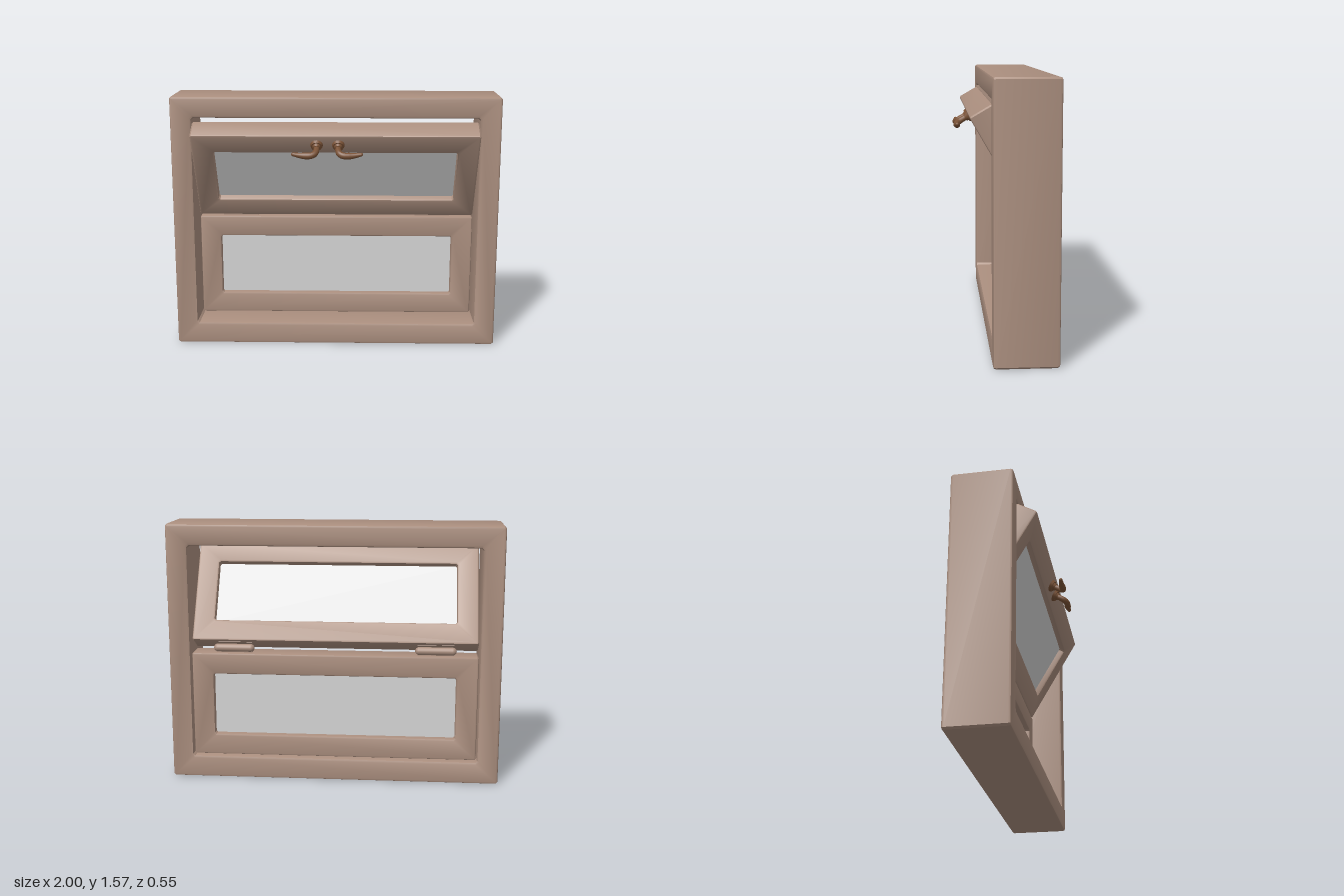
import * as THREE from 'three';
import { toCreasedNormals } from 'three/addons/utils/BufferGeometryUtils.js';

const wood = new THREE.MeshStandardMaterial({ color: 0xaa8e7e });
wood.name = 'painted wood';
const pane = new THREE.MeshStandardMaterial({ color: 0xd4d4d4 });
pane.name = 'pale glass';
const bronze = new THREE.MeshStandardMaterial({ color: 0x7a5236 });
bronze.name = 'bronze';

const SASH = { w: 1.73, h: 0.642, t: 0.143, rail: 0.131 };

function add(parent, name, geometry, material, x = 0, y = 0, z = 0) {
  const mesh = new THREE.Mesh(geometry, material);
  mesh.name = name;
  mesh.position.set(x, y, z);
  parent.add(mesh);
  return mesh;
}

// Rectangle with small cut corners
function outline(target, x0, y0, x1, y1, c) {
  target.moveTo(x0 + c, y0);
  target.lineTo(x1 - c, y0);
  target.lineTo(x1, y0 + c);
  target.lineTo(x1, y1 - c);
  target.lineTo(x1 - c, y1);
  target.lineTo(x0 + c, y1);
  target.lineTo(x0, y1 - c);
  target.lineTo(x0, y0 + c);
  target.closePath();
  return target;
}

// Bevelled rectangular ring standing on y = 0, from z = 0 back to z = -depth
function ring(w, h, depth, side, bottom, top, bevel) {
  const shape = outline(new THREE.Shape(), -w / 2, 0, w / 2, h, bevel * 0.7);
  shape.holes.push(outline(new THREE.Path(), -w / 2 + side, bottom, w / 2 - side, h - top, bevel * 0.7));
  const geometry = new THREE.ExtrudeGeometry(shape, {
    depth: depth - 2 * bevel, bevelEnabled: true, bevelSize: bevel,
    bevelThickness: bevel, bevelOffset: -bevel, bevelSegments: 2,
  });
  geometry.translate(0, 0, bevel - depth);
  return toCreasedNormals(geometry, 0.7);
}

// Sash with its pane; origin at the lower front edge
function makeSash(name) {
  const { w, h, t, rail } = SASH;
  const sash = new THREE.Group();
  sash.name = name;
  add(sash, 'sashFrame', ring(w, h, t, rail, rail, rail, 0.012), wood);
  add(sash, 'glass', new THREE.BoxGeometry(w - 2 * rail + 0.01, h - 2 * rail + 0.01, 0.06), pane, 0, h / 2, -t / 2);
  return sash;
}

// Lever handle: rosette, neck and a grip that swells and tapers sideways
function makeHandle(name, dir) {
  const handle = new THREE.Group();
  handle.name = name;
  const turn = (g) => g.rotateX(Math.PI / 2);
  add(handle, 'rosette', turn(new THREE.CylinderGeometry(0.032, 0.038, 0.016, 24)), bronze, 0, 0, 0.008);
  add(handle, 'collar', turn(new THREE.CylinderGeometry(0.02, 0.026, 0.016, 24)), bronze, 0, 0, 0.022);

  const path = new THREE.CatmullRomCurve3([
    [0, 0, 0.01], [0, 0, 0.05], [0.008, -0.001, 0.078], [0.03, -0.004, 0.092],
    [0.07, -0.006, 0.092], [0.105, -0.003, 0.09], [0.136, 0.002, 0.088],
  ].map(([x, y, z]) => new THREE.Vector3(x * dir, y, z)));
  const steps = 32, sides = 14;
  const lever = new THREE.TubeGeometry(path, steps, 1, sides, false);
  const pos = lever.attributes.position;
  const p = new THREE.Vector3();
  const radius = (u) => u < 0.65 ? 0.016 + 0.004 * Math.sin(u / 0.65 * Math.PI / 2) : 0.02 - 0.009 * (u - 0.65) / 0.35;
  for (let i = 0; i < pos.count; i++) {
    const u = Math.floor(i / (sides + 1)) / steps;
    const c = path.getPointAt(u);
    p.fromBufferAttribute(pos, i).sub(c).multiplyScalar(radius(u)).add(c);
    pos.setXYZ(i, p.x, p.y, p.z);
  }
  lever.computeVertexNormals();
  add(handle, 'lever', lever, bronze);
  add(handle, 'leverTip', new THREE.SphereGeometry(0.011, 14, 10), bronze, 0.136 * dir, 0.002, 0.088);
  return handle;
}

export function createModel() {
  const model = new THREE.Group();
  model.name = 'window';

  // Deep outer frame
  add(model, 'outerFrame', ring(2, 1.565, 0.365, 0.13, 0.137, 0.128, 0.016), wood, 0, 0, 0.092);

  // Fixed lower sash
  const lower = makeSash('lowerSash');
  lower.position.set(0, 0.142, -0.108);
  model.add(lower);

  // Upper sash tilted forward at the top
  const upper = makeSash('upperSash');
  upper.position.set(0, 0.791, -0.112);
  upper.rotation.x = Math.PI / 6;
  model.add(upper);

  // Handles on the top rail of the tilted sash
  for (const [name, x, dir] of [['leftHandle', 0.02, 1], ['rightHandle', -0.11, -1]]) {
    const handle = makeHandle(name, dir);
    handle.position.set(x, SASH.h - 0.067, 0);
    upper.add(handle);
  }

  // Hinges between the two sashes
  for (const [name, side] of [['leftHinge', 1], ['rightHinge', -1]]) {
    const hinge = new THREE.Group();
    hinge.name = name;
    hinge.position.set(0.61 * side, 0.812, -0.215);
    add(hinge, 'barrel', new THREE.CapsuleGeometry(0.024, 0.2, 6, 16).rotateZ(Math.PI / 2), wood);
    add(hinge, 'lowerLeaf', new THREE.BoxGeometry(0.22, 0.008, 0.07), wood, 0, -0.026, 0.035);
    const leaf = add(hinge, 'upperLeaf', new THREE.BoxGeometry(0.22, 0.008, 0.07), wood, 0, 0.02, 0.035);
    leaf.rotation.x = Math.PI / 6;
    model.add(hinge);
  }
  return model;
}
